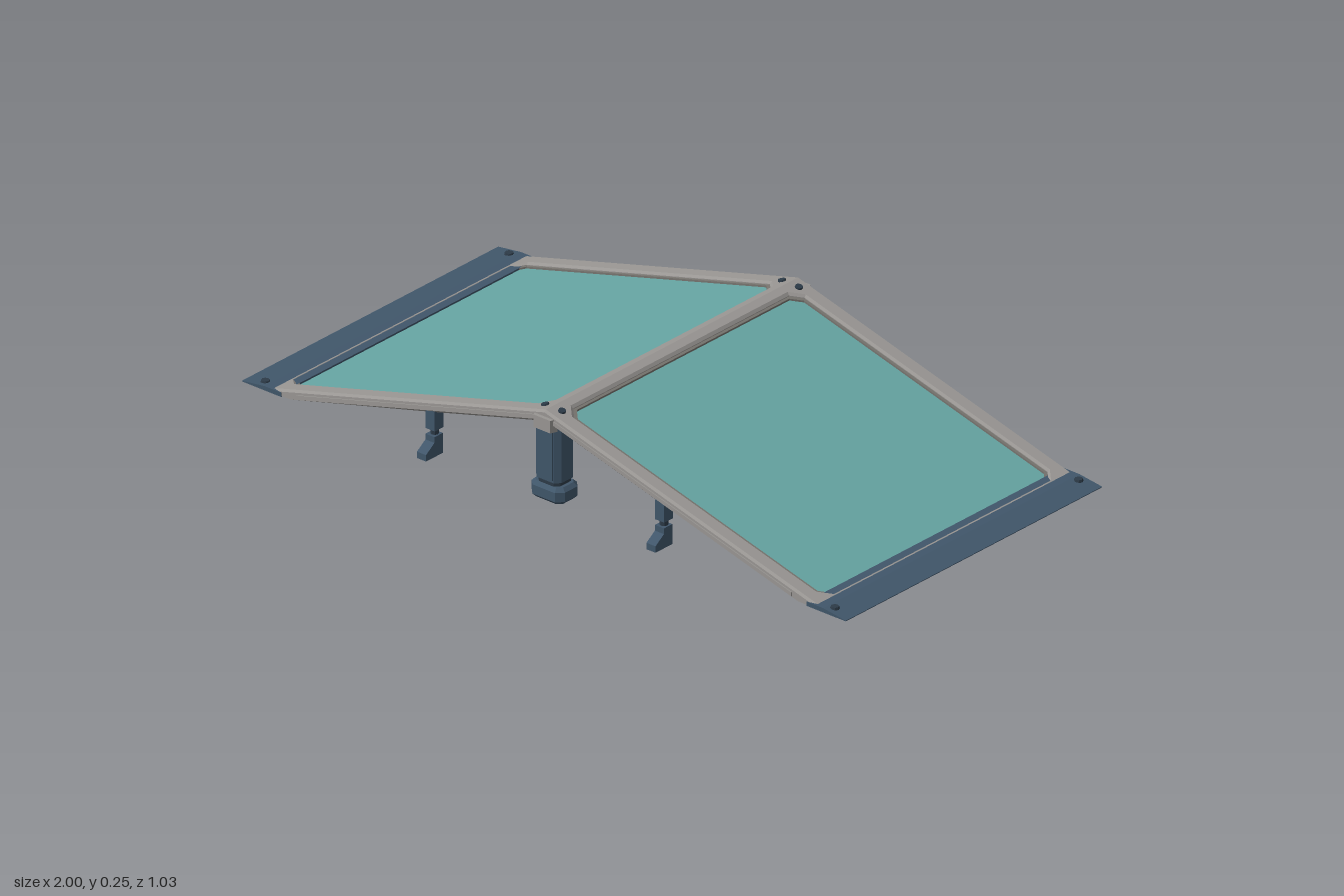
import * as THREE from 'three';

const RIDGE = 0.255, SLOPE = 0.27, W = 0.485;
const mat = (color) => new THREE.MeshStandardMaterial({ color, flatShading: true });

// Closed outline with optional holes
function outline(points, ...holes) {
  const s = new THREE.Shape(points.map(p => new THREE.Vector2(...p)));
  holes.forEach(h => s.holes.push(new THREE.Path(h.map(p => new THREE.Vector2(...p)))));
  return s;
}

// Rectangle with cut corners
const cutRect = (x0, x1, z, c) => [
  [x0 + c, -z], [x1 - c, -z], [x1, -z + c], [x1, z - c],
  [x1 - c, z], [x0 + c, z], [x0, z - c], [x0, -z + c]];

// Horizontal slab whose top lies at the given y
function slab(shape, top, depth, bevel = 0) {
  const g = new THREE.ExtrudeGeometry(shape, {
    depth: depth - 2 * bevel, bevelEnabled: bevel > 0, bevelSegments: 1,
    bevelSize: bevel, bevelThickness: bevel, bevelOffset: -bevel });
  return g.rotateX(Math.PI / 2).translate(0, top - bevel, 0);
}

// Tilts a slab down from the ridge, cut off at the ground and the centre line
function tilt(g) {
  const p = g.attributes.position;
  for (let i = 0; i < p.count; i++) {
    const x = Math.max(0, p.getX(i));
    p.setXYZ(i, x, Math.max(0.001, p.getY(i) + RIDGE - SLOPE * x), p.getZ(i));
  }
  g.computeVertexNormals();
  return g;
}

export function createModel() {
  const model = new THREE.Group();
  model.name = 'doubleRamp';
  const grey = mat(0x999693), teal = mat(0x66a5a3), blue = mat(0x40566a), dark = mat(0x2d3b48);

  const add = (parent, name, geometry, material) => {
    const m = new THREE.Mesh(geometry, material);
    m.name = name;
    parent.add(m);
    return m;
  };

  // One sloping half, built towards +x and repeated by a half turn
  for (const side of [0, 1]) {
    const half = new THREE.Group();
    half.name = side ? 'rightRamp' : 'leftRamp';
    half.rotation.y = side * Math.PI;
    model.add(half);

    // Bevelled frame
    const outer = [[-0.03, -W], [0.4, -W], [0.84, -W], [0.9, -W], [0.915, -W + 0.012],
      [0.915, W - 0.012], [0.9, W], [0.84, W], [0.4, W], [-0.03, W]];
    add(half, 'frame', tilt(slab(outline(outer, cutRect(0.03, 0.89, 0.438, 0.028)), 0, 0.032, 0.006)), grey);

    // Narrow lip around the panel
    add(half, 'panelLip', tilt(slab(outline(cutRect(0.02, 0.9, 0.444, 0.028),
      cutRect(0.037, 0.883, 0.43, 0.026)), -0.008, 0.018)), mat(0x77746f));

    // Walking panel
    add(half, 'panel', tilt(slab(outline(cutRect(0.03, 0.888, 0.434, 0.026)), -0.013, 0.012)), teal);

    // Thin rail along each long edge
    for (const s of [-1, 1]) {
      const rail = new THREE.BoxGeometry(0.8, 0.011, 0.006, 8, 1, 1).translate(0.42, -0.018, s * W);
      add(half, 'sideRail', tilt(rail), grey);
    }

    // Wedge plate that meets the ground
    const wedge = outline([[0.87, 0], [1, 0], [1, 0.002], [0.925, 0.012], [0.87, 0.012]]);
    add(half, 'edgePlate', new THREE.ExtrudeGeometry(wedge, { depth: 0.974, bevelEnabled: false })
      .translate(0, 0, -0.487), blue);

    for (const s of [-1, 1]) {
      // Bolts on the plate and beside the ridge
      add(half, 'plateBolt', new THREE.CylinderGeometry(0.011, 0.013, 0.008, 8), dark)
        .position.set(0.943, 0.011, s * 0.463);
      const bolt = add(half, 'ridgeBolt', new THREE.CylinderGeometry(0.01, 0.011, 0.008, 8), dark);
      bolt.position.set(0.028, RIDGE - SLOPE * 0.028 + 0.001, s * 0.45);
      bolt.rotation.z = -Math.atan(SLOPE);

      // Small support: bracket, neck and outward foot
      const support = new THREE.Group();
      support.name = 'smallSupport';
      support.position.x = 0.38;
      support.rotation.y = s < 0 ? Math.PI : 0;
      half.add(support);
      add(support, 'bracket', new THREE.BoxGeometry(0.03, 0.055, 0.034), blue).position.set(0, 0.099, 0.466);
      add(support, 'neck', new THREE.CylinderGeometry(0.011, 0.011, 0.04, 8), dark).position.set(0, 0.062, 0.466);
      const foot = outline([[0.452, 0], [0.516, 0], [0.516, 0.018], [0.484, 0.04], [0.484, 0.056], [0.452, 0.056]]);
      add(support, 'foot', new THREE.ExtrudeGeometry(foot, { depth: 0.03, bevelEnabled: false })
        .rotateY(-Math.PI / 2).translate(0.015, 0, 0), blue);
    }
  }

  // Centre posts under the ridge
  for (const s of [-1, 1]) {
    const post = new THREE.Group();
    post.name = 'centrePost';
    post.position.z = s * 0.446;
    post.rotation.y = s < 0 ? Math.PI : 0;
    model.add(post);
    add(post, 'column', slab(outline(cutRect(-0.042, 0.042, 0.036, 0.014)), 0.228, 0.17), blue);
    add(post, 'columnFace', new THREE.BoxGeometry(0.052, 0.15, 0.01), blue).position.set(0, 0.14, 0.035);
    add(post, 'collar', slab(outline(cutRect(-0.036, 0.036, 0.032, 0.012)), 0.062, 0.025), dark);
    add(post, 'base', slab(outline(cutRect(-0.055, 0.055, 0.042, 0.018)), 0.046, 0.046, 0.01), blue);
    add(post, 'ridgeCap', slab(outline([[-0.035, 0.03], [0.035, 0.03], [0.028, 0.049], [-0.028, 0.049]]),
      0.238, 0.035), grey);
  }
  return model;
}
